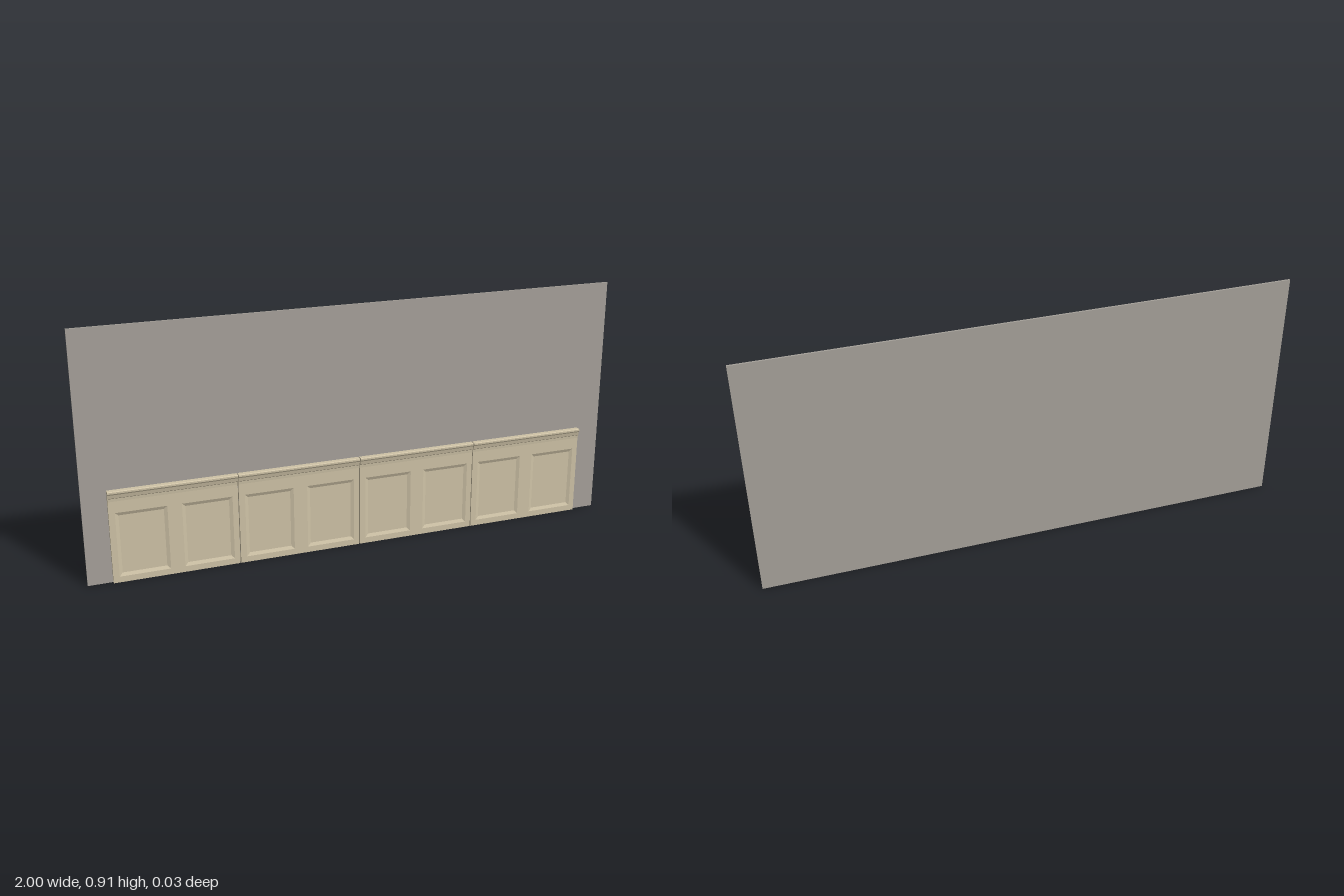
import * as THREE from 'three';

const WALL_FRONT = -0.006, FLOOR = 0.0, FACE = 0.005;
const PANEL_W = 0.456, GAP = 0.003, LEFT = -0.914, TOP = 0.312;
const RECESS = { y0: 0.022, y1: 0.262, bevel: 0.012 };
const RECESS_X = [[0.022, 0.202], [0.253, 0.433]];

// Sloping rim from the frame face down to the sunken field
function recessRim(x0, x1, y0, y1, b) {
  const outer = [[x0, y0], [x1, y0], [x1, y1], [x0, y1]];
  const inner = [[x0 + b, y0 + b], [x1 - b, y0 + b], [x1 - b, y1 - b], [x0 + b, y1 - b]];
  const pos = [];
  for (let i = 0; i < 4; i++) {
    const j = (i + 1) % 4;
    const a = [...outer[i], FACE], c = [...outer[j], FACE];
    const d = [...inner[j], FLOOR], e = [...inner[i], FLOOR];
    pos.push(...a, ...c, ...d, ...a, ...d, ...e);
  }
  const g = new THREE.BufferGeometry();
  g.setAttribute('position', new THREE.Float32BufferAttribute(pos, 3));
  g.computeVertexNormals();
  return g;
}

function rectPath(path, x0, x1, y0, y1) {
  path.moveTo(x0, y0).lineTo(x1, y0).lineTo(x1, y1).lineTo(x0, y1).closePath();
  return path;
}

export function createModel() {
  const wallMat = new THREE.MeshStandardMaterial({ color: 0xa6a19a });
  wallMat.name = 'warm grey wall';
  const woodMat = new THREE.MeshStandardMaterial({ color: 0xcfc3a7 });
  woodMat.name = 'cream paint';

  const model = new THREE.Group();
  model.name = 'panelledWall';
  const add = (parent, name, geometry, material) => {
    const mesh = new THREE.Mesh(geometry, material);
    mesh.name = name;
    parent.add(mesh);
    return mesh;
  };

  // Wall slab
  add(model, 'wall', new THREE.BoxGeometry(2, 0.913, 0.007), wallMat)
    .position.set(0, 0.4565, WALL_FRONT - 0.0035);

  // Backing board, frame with two openings, and rail cap
  const w = PANEL_W - GAP;
  const backing = new THREE.BoxGeometry(w, TOP, FLOOR - WALL_FRONT);
  backing.translate(w / 2, TOP / 2, (FLOOR + WALL_FRONT) / 2);

  const frameShape = rectPath(new THREE.Shape(), 0, w, 0, TOP);
  for (const [x0, x1] of RECESS_X) {
    frameShape.holes.push(rectPath(new THREE.Path(), x0, x1, RECESS.y0, RECESS.y1));
  }
  const frame = new THREE.ExtrudeGeometry(frameShape, { depth: FACE - FLOOR, bevelEnabled: false });

  // Rail cap section, drawn as (z, y)
  const capShape = new THREE.Shape([
    [WALL_FRONT, 0.305], [0.006, 0.305], [0.007, 0.316], [0.009, 0.318],
    [0.012, 0.331], [0.015, 0.336], [0.015, 0.342], [0.012, 0.344], [WALL_FRONT, 0.344],
  ].map(([z, y]) => new THREE.Vector2(z, y)));
  const cap = new THREE.ExtrudeGeometry(capShape, { depth: w, bevelEnabled: false });
  cap.rotateY(-Math.PI / 2);
  cap.translate(w, 0, 0);

  const rims = RECESS_X.map(([x0, x1]) => recessRim(x0, x1, RECESS.y0, RECESS.y1, RECESS.bevel));

  // Four equal wainscot sections side by side
  for (let i = 0; i < 4; i++) {
    const section = new THREE.Group();
    section.name = `wainscotSection${i + 1}`;
    section.position.x = LEFT + i * PANEL_W + GAP / 2;
    add(section, 'backing', backing, woodMat);
    add(section, 'frame', frame, woodMat);
    add(section, 'railCap', cap, woodMat);
    rims.forEach((g, k) => add(section, `recessRim${k + 1}`, g, woodMat));
    model.add(section);
  }
  return model;
}
